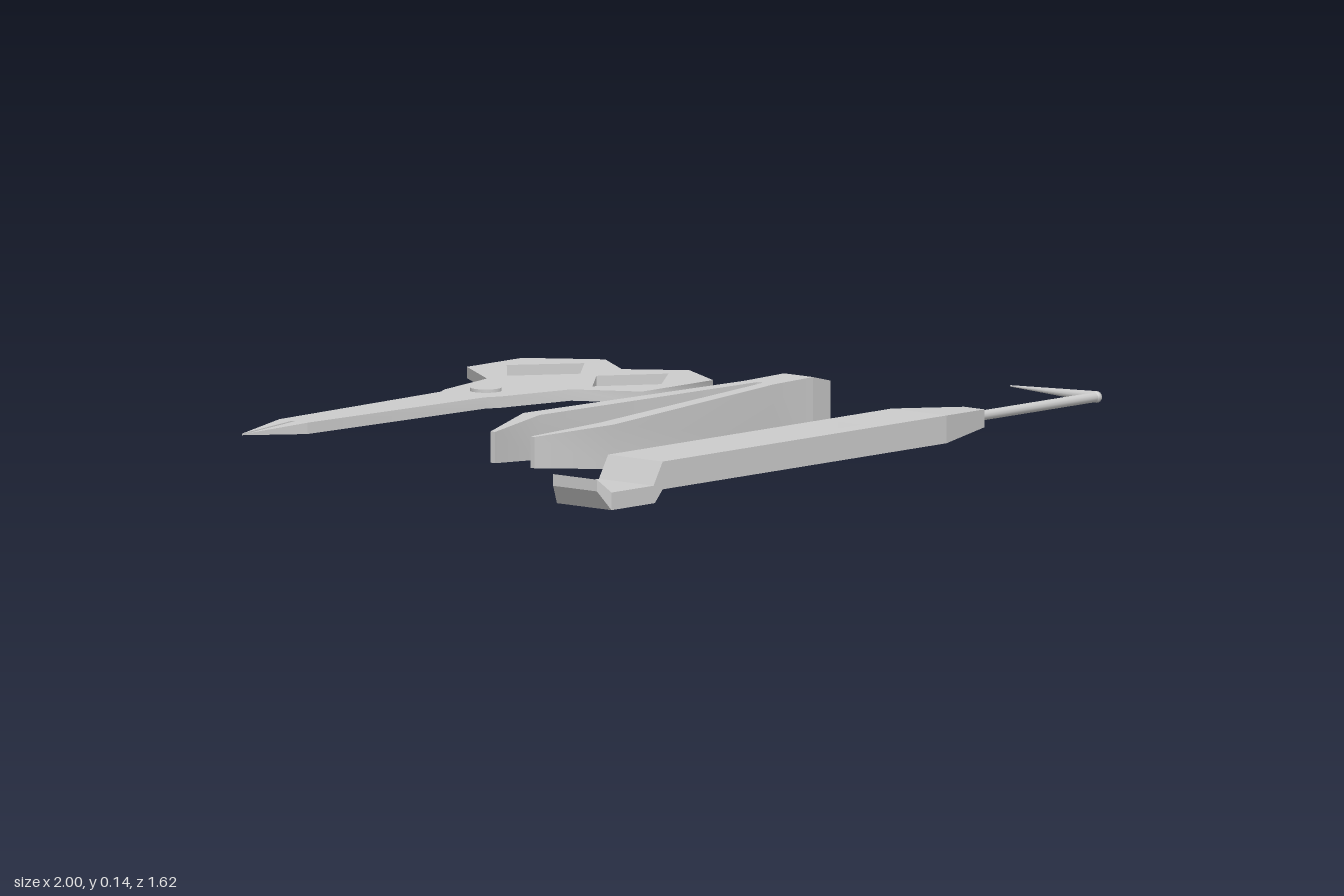
import * as THREE from 'three';
import { toCreasedNormals } from 'three/addons/utils/BufferGeometryUtils.js';

const flat = new THREE.MeshStandardMaterial({ color: 0xcccccc, flatShading: true });
const smooth = new THREE.MeshStandardMaterial({ color: 0xcccccc });

function add(parent, name, geometry, material = flat) {
  const mesh = new THREE.Mesh(geometry, material);
  mesh.name = name;
  parent.add(mesh);
  return mesh;
}

// Move every vertex by a rule
function bend(geometry, rule) {
  const p = geometry.attributes.position;
  const v = new THREE.Vector3();
  for (let i = 0; i < p.count; i++) {
    rule(v.fromBufferAttribute(p, i));
    p.setXYZ(i, v.x, v.y, v.z);
  }
  geometry.computeVertexNormals();
  return geometry;
}

// Extrude an [x, z] outline, clockwise from above, upwards from y0 to y1
function plan(outline, holes, y0, y1) {
  const toPoints = (list) => list.map(([x, z]) => new THREE.Vector2(x, -z)).reverse();
  const shape = new THREE.Shape(toPoints(outline));
  for (const hole of holes) shape.holes.push(new THREE.Path(toPoints(hole)));
  const g = new THREE.ExtrudeGeometry(shape, { depth: y1 - y0, bevelEnabled: false });
  return g.rotateX(-Math.PI / 2).translate(0, y0, 0);
}

// Extrude an [x, y] profile, anticlockwise from the front, centred on z = 0
function sideProfile(points, width) {
  const shape = new THREE.Shape(points.map(([x, y]) => new THREE.Vector2(x, y)));
  return new THREE.ExtrudeGeometry(shape, { depth: width, bevelEnabled: false }).translate(0, 0, -width / 2);
}

const rect = (x0, x1, z0, z1) => [[x0, z0], [x1, z0], [x1, z1], [x0, z1]];

// Piecewise linear value from [x, value] stops
function ramp(stops, x) {
  for (let i = 1; i < stops.length; i++) {
    const [a, va] = stops[i - 1], [b, vb] = stops[i];
    if (x <= b) return va + (vb - va) * Math.max(0, (x - a) / (b - a));
  }
  return stops[stops.length - 1][1];
}

function createScissors() {
  const group = new THREE.Group();
  group.name = 'scissors';
  const y0 = 0.048, y1 = 0.077, mid = (y0 + y1) / 2;
  const outline = [
    [-0.70, -0.555], [-0.07, -0.57], [-0.03, -0.59], [0.18, -0.635],
    [0.30, -0.81], [0.51, -0.81], [0.63, -0.635], [0.53, -0.49], [0.63, -0.35],
    [0.54, -0.19], [0.27, -0.19], [0.18, -0.35], [-0.03, -0.40], [-0.07, -0.42],
    [-0.70, -0.46],
  ];
  const fingerHoles = [
    [[0.25, -0.63], [0.39, -0.755], [0.545, -0.63], [0.40, -0.515]],
    [[0.255, -0.345], [0.40, -0.46], [0.55, -0.35], [0.40, -0.24]],
  ];
  add(group, 'bladesAndHandles', toCreasedNormals(plan(outline, fingerHoles, y0, y1), 1.3), smooth);

  // Two blade points, thinning out and parted by a narrow slit
  const tips = [
    [[-0.89, -0.513], [-0.70, -0.555], [-0.70, -0.512]],
    [[-0.88, -0.506], [-0.70, -0.502], [-0.70, -0.46]],
  ];
  for (const tip of tips) {
    add(group, 'bladeTip', bend(plan(tip, [], y0, y1), (v) => {
      if (v.x < -0.8) v.y = mid + (v.y - mid) * 0.15;
    }));
  }
  add(group, 'pivot', new THREE.CylinderGeometry(0.04, 0.04, 0.042, 24), smooth)
    .position.set(0.02, mid + 0.002, -0.497);
  return group;
}

function createTweezers() {
  const group = new THREE.Group();
  group.name = 'tweezers';
  const top = [[-0.70, 0.115], [-0.48, 0.13], [0.40, 0.145], [0.48, 0.125]];
  const bottom = [[-0.70, 0.035], [-0.48, 0.016], [0.40, 0], [0.48, 0.02]];
  const shapeHeight = (outline) => toCreasedNormals(bend(plan(outline, [], 0, 1), (v) => {
    v.y = ramp(v.y > 0.5 ? top : bottom, v.x);
  }), 0.6);
  add(group, 'arms', shapeHeight([
    [-0.70, 0.175], [-0.70, 0.16], [-0.48, 0.075], [0.25, 0.175], [0.40, 0.175],
    [0.40, 0.273], [0.25, 0.273], [-0.48, 0.382], [-0.70, 0.308], [-0.70, 0.295],
    [-0.48, 0.333], [0.25, 0.235], [0.26, 0.224], [0.25, 0.215], [-0.48, 0.13],
  ]), smooth);
  add(group, 'joinedEnd', shapeHeight([[0.40, 0.175], [0.485, 0.19], [0.485, 0.257], [0.40, 0.273]]), smooth);
  return group;
}

function createProbe() {
  const group = new THREE.Group();
  group.name = 'probe';
  const z0 = 0.62, z1 = 0.805, mid = (z0 + z1) / 2, width = z1 - z0;
  const bottom = 0.037, top = 0.108, grooveFloor = 0.09;

  // Handle in two layers, the upper one cut by a groove with sloped walls
  const block = rect(-0.77, 0.31, z0, z1);
  add(group, 'handle', plan(block, [], bottom, grooveFloor));
  const groove = rect(-0.58, 0.05, 0.668, 0.754);
  add(group, 'groovedTop', bend(plan(block, [groove], grooveFloor, top), (v) => {
    const onGroove = v.x > -0.7 && v.x < 0.2;
    if (onGroove && v.y < top - 0.001) {
      v.z -= Math.sign(v.z - mid) * 0.014;
      v.x += v.x < 0 ? 0.014 : -0.014;
    }
  }));

  // Tapered neck
  add(group, 'neck', bend(new THREE.BoxGeometry(0.21, top - bottom, width), (v) => {
    if (v.x > 0) { v.y *= 0.64; v.z *= 0.38; }
  })).position.set(0.415, (top + bottom) / 2, mid);

  // Stepped foot and upturned scraping edge at the left end
  add(group, 'scraperFoot', sideProfile([
    [-0.965, 0.005], [-0.80, 0.005], [-0.77, bottom], [-0.77, top], [-0.805, 0.05], [-0.965, 0.05],
  ], width)).position.z = mid;
  const lip = sideProfile([[-1, 0.085], [-1, 0.055], [-0.965, 0.005], [-0.965, 0.05]], width);
  add(group, 'scraperLip', bend(lip, (v) => {
    if (v.x < -0.99) v.z *= 0.8;
  })).position.z = mid;

  // Thin rod, elbow and pointed hook
  const y = 0.073, elbowX = 0.984;
  add(group, 'rod', new THREE.CylinderGeometry(0.013, 0.013, 0.47, 12).rotateZ(Math.PI / 2), smooth)
    .position.set(0.75, y, mid);
  add(group, 'elbow', new THREE.SphereGeometry(0.015, 12, 8), smooth).position.set(elbowX, y, mid);
  add(group, 'hook', new THREE.CylinderGeometry(0.002, 0.015, 0.29, 12).rotateX(-Math.PI / 2), smooth)
    .position.set(elbowX, y, mid - 0.145);
  return group;
}

export function createModel() {
  const model = new THREE.Group();
  model.name = 'toolSet';
  model.add(createScissors(), createTweezers(), createProbe());
  return model;
}
